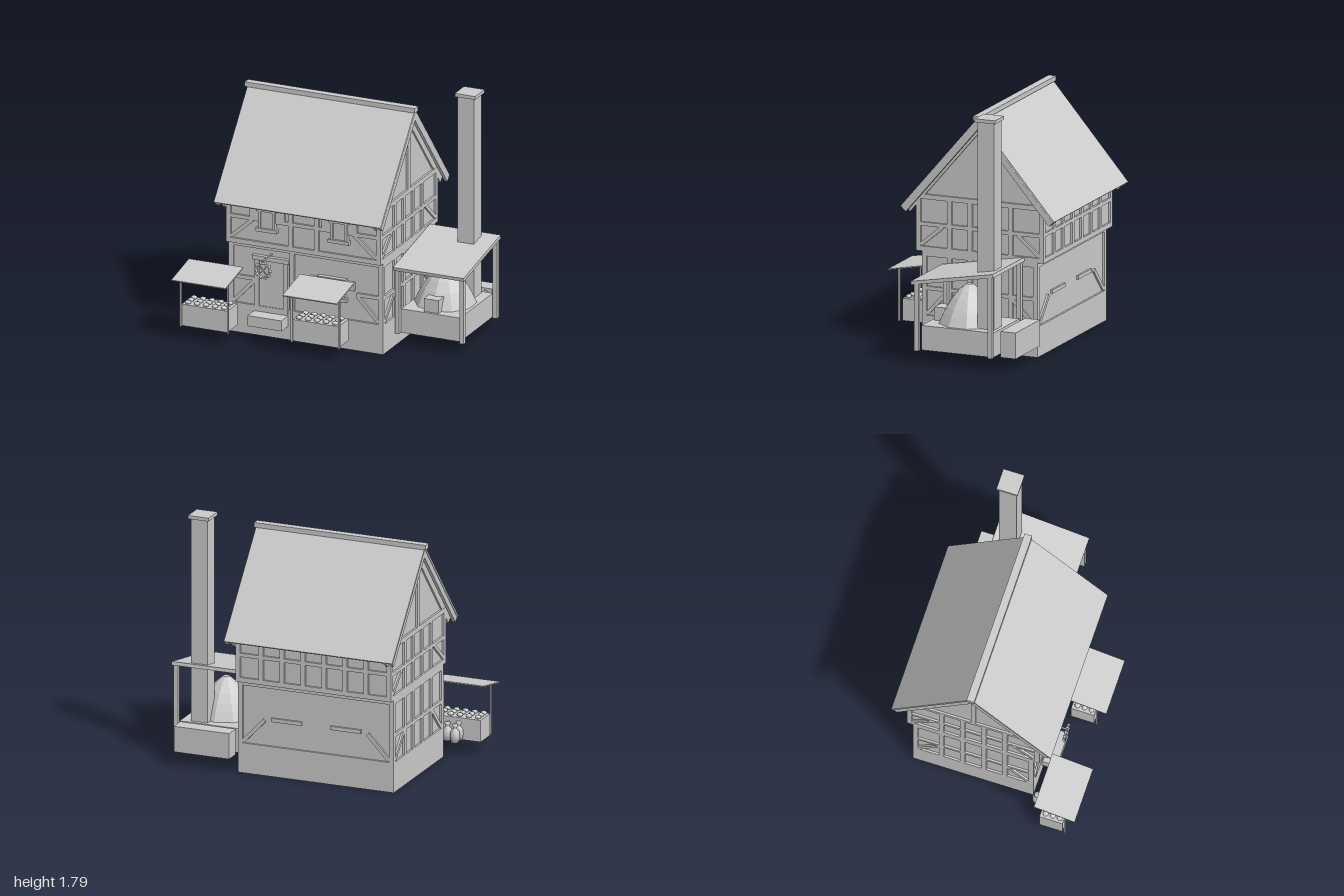
import * as THREE from 'three';

const stone = new THREE.MeshStandardMaterial({ color: 0xcccccc });
stone.name = 'pale grey';

const CX = -0.1425, CZ = -0.1225; // house centre
const HX = 0.5925, LOW = 0.4425, UP = 0.4875; // half sizes of house, lower and upper storey

function add(parent, name, geometry, x = 0, y = 0, z = 0) {
  const m = new THREE.Mesh(geometry, stone);
  m.name = name;
  m.position.set(x, y, z);
  parent.add(m);
  return m;
}

// Box given by its extents
function box(parent, name, x0, x1, y0, y1, z0, z1) {
  return add(parent, name, new THREE.BoxGeometry(x1 - x0, y1 - y0, z1 - z0),
    (x0 + x1) / 2, (y0 + y1) / 2, (z0 + z1) / 2);
}

// Timber lying on a wall, from one point to another
function beam(parent, u0, v0, u1, v1, w = 0.035, d = 0.03) {
  const m = add(parent, 'timber',
    new THREE.BoxGeometry(Math.hypot(u1 - u0, v1 - v0), w, d), (u0 + u1) / 2, (v0 + v1) / 2, -d / 2);
  m.rotation.z = Math.atan2(v1 - v0, u1 - u0);
}

// Group whose local z = 0 is the outer plane of one wall
function wallFace(parent, name, angle, distance) {
  const g = new THREE.Group();
  g.name = name;
  g.rotation.y = angle;
  g.position.set(CX + Math.sin(angle) * distance, 0, CZ + Math.cos(angle) * distance);
  parent.add(g);
  return g;
}

// Timber frame: plates, posts, rails and corner braces
function frame(g, hw, y0, y1, rail, posts, rails, braces = true) {
  beam(g, -hw, y0 + 0.0175, hw, y0 + 0.0175);
  beam(g, -hw, y1 - 0.0175, hw, y1 - 0.0175);
  for (const u of [-hw + 0.0175, hw - 0.0175, ...posts]) beam(g, u, y0, u, y1);
  for (const [a, b] of rails) beam(g, a, rail, b, rail, 0.027, 0.026);
  if (braces) for (const s of [-1, 1])
    beam(g, s * (hw - 0.035), y0 + 0.045, s * (hw - 0.2), rail - 0.01, 0.027, 0.025);
}

// Pitched band between two depths below the roof surface, extruded along x
function chevron(parent, name, t0, t1, x0, x1) {
  const eave = t => [0.588 - 0.761 * t, 1.0 - 0.6486 * t];
  const apex = t => 1.69 - t / 0.6486;
  const [a, b] = eave(t0), [c, d] = eave(t1);
  const s = new THREE.Shape([[0, apex(t0)], [-a, b], [-c, d], [0, apex(t1)], [c, d], [a, b]]
    .map(p => new THREE.Vector2(...p)));
  const geo = new THREE.ExtrudeGeometry(s, { depth: x1 - x0, bevelEnabled: false });
  geo.rotateY(Math.PI / 2);
  return add(parent, name, geo, x0, 0, CZ);
}

// Sloping sheet from a front edge to a back edge
function canopy(parent, name, x0, x1, zf, yf, zb, yb, t) {
  const m = add(parent, name, new THREE.BoxGeometry(x1 - x0, t, Math.hypot(zf - zb, yf - yb)),
    (x0 + x1) / 2, (yf + yb) / 2, (zf + zb) / 2);
  m.rotation.x = Math.atan2(yb - yf, zf - zb);
}

// Framed window with sill, head and thin side shutters
function windowUnit(parent, x, y0, y1, w, z) {
  const g = new THREE.Group();
  g.name = 'window';
  parent.add(g);
  const h = w / 2;
  box(g, 'windowPane', x - h, x + h, y0, y1, z - 0.03, z + 0.005);
  for (const s of [-1, 1]) {
    const c = x + s * (h - 0.01);
    box(g, 'windowJamb', c - 0.01, c + 0.01, y0, y1, z - 0.02, z + 0.015);
    const p = x + s * (h + 0.035);
    box(g, 'shutter', p - 0.035, p + 0.035, y1 - 0.08, y1 - 0.015, z - 0.02, z + 0.004);
  }
  box(g, 'windowSill', x - h - 0.015, x + h + 0.015, y0 - 0.01, y0 + 0.015, z - 0.02, z + 0.022);
  box(g, 'windowHead', x - h - 0.01, x + h + 0.01, y1 - 0.02, y1, z - 0.02, z + 0.02);
}

function stall(parent, x0, zf) {
  const g = new THREE.Group();
  g.name = 'marketStall';
  parent.add(g);
  canopy(g, 'awning', x0, x0 + 0.417, zf, 0.465, zf - 0.3, 0.522, 0.008);
  box(g, 'counter', x0 + 0.035, x0 + 0.385, 0.1, 0.26, zf - 0.27, zf - 0.1);
  for (const x of [x0 + 0.036, x0 + 0.4])
    box(g, 'awningPost', x - 0.006, x + 0.006, 0.1, 0.478, zf - 0.087, zf - 0.075);
  const loaf = new THREE.SphereGeometry(0.024, 8, 6).scale(1, 0.6, 0.9);
  for (let i = 0; i < 5; i++) for (let j = 0; j < 3; j++)
    add(g, 'loaf', loaf, x0 + 0.07 + i * 0.069, 0.27, zf - 0.13 - j * 0.052);
}

export function createModel() {
  const root = new THREE.Group();
  root.name = 'bakery';

  // House body
  box(root, 'foundation', CX - HX, CX + HX, 0, 0.185, CZ - LOW, CZ + LOW);
  box(root, 'lowerWalls', CX - HX + 0.015, CX + HX - 0.015, 0.18, 0.69, CZ - LOW + 0.015, CZ + LOW - 0.015);
  const w = UP - 0.015;
  const gable = new THREE.Shape([[-w, 0.685], [w, 0.685], [w, 1.09], [0, 1.655], [-w, 1.09]]
    .map(p => new THREE.Vector2(...p)));
  const gableGeo = new THREE.ExtrudeGeometry(gable, { depth: 2 * HX - 0.03, bevelEnabled: false });
  gableGeo.rotateY(Math.PI / 2);
  add(root, 'upperWalls', gableGeo, CX - HX + 0.015, 0, CZ);

  // Front and back timber framing
  const frontLow = wallFace(root, 'frontLowerFrame', 0, LOW);
  frame(frontLow, HX, 0.185, 0.68, 0.415, [-0.11], [[-0.57, -0.39], [0.39, 0.57], [-0.11, 0.1]]);
  const frontUp = wallFace(root, 'frontUpperFrame', 0, UP);
  frame(frontUp, HX, 0.68, 1.09, 0.88, [-0.1, 0.1], [[-0.57, 0.57]]);
  const backLow = wallFace(root, 'backLowerFrame', Math.PI, LOW);
  frame(backLow, HX, 0.185, 0.68, 0.415, [], [[-0.34, -0.11], [0.11, 0.34]]);
  const backUp = wallFace(root, 'backUpperFrame', Math.PI, UP);
  frame(backUp, HX, 0.68, 1.09, 0.88, [-0.4, -0.24, -0.08, 0.08, 0.24, 0.4], [[-0.57, 0.57]], false);

  // Side framing and gable timbers
  const sidePosts = [-0.233, -0.078, 0.078, 0.233];
  for (const s of [-1, 1]) {
    const low = wallFace(root, 'sideLowerFrame', s * Math.PI / 2, HX);
    frame(low, LOW, 0.185, 0.68, 0.415, sidePosts, [[-LOW, LOW]]);
    const up = wallFace(root, 'sideUpperFrame', s * Math.PI / 2, HX);
    frame(up, UP, 0.68, 1.09, 0.875, sidePosts, [[-UP, UP]]);
    beam(up, 0, 1.08, 0, 1.63);
    const xr = CX + s * (HX - 0.012), xb = CX + s * (HX + 0.034);
    chevron(root, 'gableRafters', 0.014, 0.07, xr - 0.01, xr + 0.01);
    chevron(root, 'bargeBoards', 0.014, 0.055, xb - 0.012, xb + 0.012);
  }

  // Roof
  chevron(root, 'roof', 0, 0.015, -0.785, 0.495);
  box(root, 'ridgeCap', -0.8, 0.505, 1.67, 1.705, CZ - 0.028, CZ + 0.028);

  // Door with step
  const zl = CZ + LOW, zu = CZ + UP;
  box(root, 'door', -0.5, -0.31, 0.185, 0.57, zl - 0.03, zl - 0.006);
  for (const x of [-0.518, -0.297]) box(root, 'doorPost', x - 0.017, x + 0.017, 0.185, 0.57, zl - 0.03, zl + 0.006);
  box(root, 'doorLintel', -0.55, -0.27, 0.565, 0.597, zl - 0.03, zl + 0.015);
  box(root, 'doorStep', -0.54, -0.28, 0.1, 0.178, zl - 0.01, 0.43);

  // Windows
  windowUnit(root, -0.42, 0.81, 0.97, 0.13, zu);
  windowUnit(root, 0.135, 0.81, 0.97, 0.13, zu);
  windowUnit(root, 0.06, 0.36, 0.52, 0.2, zl);

  // Hanging wreath sign on a bracket
  const sign = new THREE.Group();
  sign.name = 'hangingSign';
  sign.position.set(-0.41, 0.545, 0.457);
  root.add(sign);
  add(sign, 'signRing', new THREE.TorusGeometry(0.052, 0.008, 6, 16));
  for (let i = 0; i < 10; i++) {
    const a = i * Math.PI / 5;
    add(sign, 'signKnob', new THREE.SphereGeometry(0.012, 6, 5), Math.cos(a) * 0.058, Math.sin(a) * 0.058, 0);
  }
  for (const a of [-0.7, 0.7]) add(sign, 'signBar', new THREE.BoxGeometry(0.008, 0.1, 0.006)).rotation.z = a;
  box(root, 'signBracket', -0.415, -0.405, 0.61, 0.62, zl - 0.01, 0.47);

  // Market stalls
  stall(root, -1.0, 0.71);
  stall(root, -0.165, 0.67);

  // Jugs beside the wall
  const jug = new THREE.LatheGeometry([[0, 0], [0.028, 0], [0.036, 0.04], [0.032, 0.08], [0.014, 0.098],
    [0.014, 0.108], [0.022, 0.118], [0.018, 0.133], [0, 0.135]].map(p => new THREE.Vector2(...p)), 10);
  for (const [x, z] of [[-0.8, 0.37], [-0.8, 0.44], [-0.73, 0.4]]) add(root, 'jug', jug, x, 0.1, z);

  // Oven with chimney
  box(root, 'ovenBase', 0.49, 0.945, 0.1, 0.277, -0.445, 0.105);
  const dome = new THREE.LatheGeometry([[0.222, 0], [0.19, 0.07], [0.165, 0.118], [0.12, 0.185], [0.075, 0.235],
    [0.025, 0.278], [0, 0.28]].map(p => new THREE.Vector2(...p)), 10).toNonIndexed();
  dome.computeVertexNormals();
  add(root, 'ovenDome', dome, 0.712, 0.275, -0.16);
  box(root, 'ovenMouth', 0.657, 0.77, 0.275, 0.373, -0.05, 0.085);
  box(root, 'chimney', 0.745, 0.87, 0.27, 1.77, -0.417, -0.29);
  box(root, 'chimneyCap', 0.73, 0.887, 1.767, 1.792, -0.432, -0.276);

  // Oven shelter
  canopy(root, 'shelterRoof', 0.455, 0.997, 0.163, 0.588, -0.465, 0.7, 0.026);
  for (const x of [0.475, 0.972]) {
    box(root, 'shelterPost', x - 0.016, x + 0.016, 0.1, 0.59, 0.11, 0.142);
    box(root, 'shelterPost', x - 0.016, x + 0.016, 0.1, 0.69, -0.452, -0.42);
  }

  // Wood store behind the oven
  box(root, 'woodStore', 0.5, 0.92, 0.1, 0.288, -0.605, -0.49);
  const log = new THREE.CylinderGeometry(0.02, 0.02, 0.03, 8).rotateX(Math.PI / 2);
  for (let i = 0; i < 8; i++) for (let j = 0; j < 4; j++)
    add(root, 'log', log, 0.54 + i * 0.047, 0.125 + j * 0.043, -0.497);

  return root;
}
